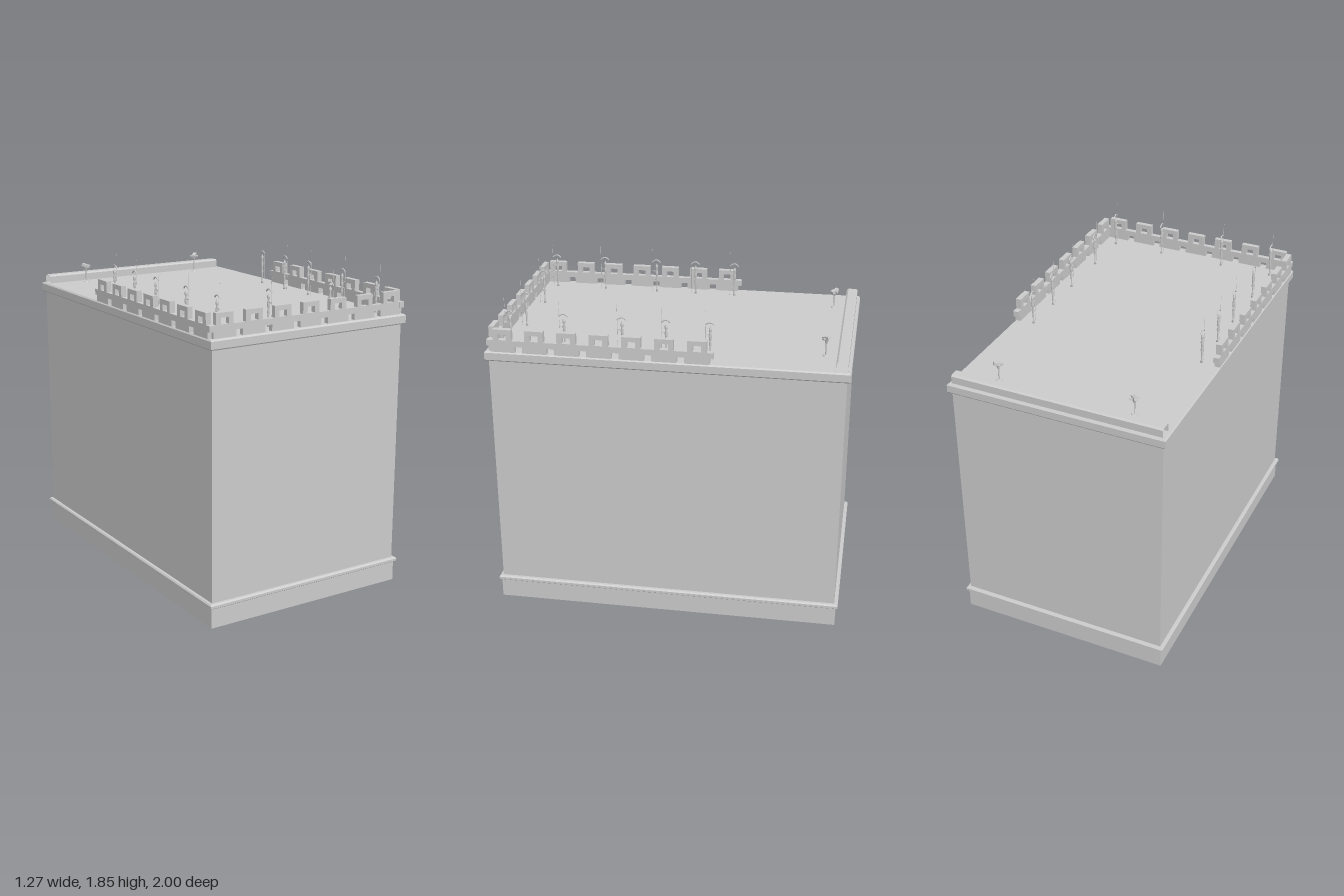
import * as THREE from 'three';

const mat = new THREE.MeshStandardMaterial({ color: 0xcccccc, side: THREE.DoubleSide, flatShading: true });
const smooth = new THREE.MeshStandardMaterial({ color: 0xcccccc, side: THREE.DoubleSide });
const HX = 0.612, HZ = 0.979, ROOF = 1.57;

function add(parent, name, geo, x = 0, y = 0, z = 0, m = mat) {
  const mesh = new THREE.Mesh(geo, m);
  mesh.name = name;
  mesh.position.set(x, y, z);
  parent.add(mesh);
  return mesh;
}

// Sweeps a profile of [outward offset, height] around the rectangular plan
function rectBand(profile) {
  const pos = [];
  const signs = [[1, 1], [1, -1], [-1, -1], [-1, 1]];
  const at = (c, [o, y]) => [signs[c % 4][0] * (HX + o), y, signs[c % 4][1] * (HZ + o)];
  for (let c = 0; c < 4; c++) {
    for (let i = 0; i < profile.length - 1; i++) {
      const a = at(c, profile[i]), b = at(c + 1, profile[i]);
      const d = at(c, profile[i + 1]), e = at(c + 1, profile[i + 1]);
      pos.push(...a, ...b, ...e, ...a, ...e, ...d);
    }
  }
  const g = new THREE.BufferGeometry();
  g.setAttribute('position', new THREE.Float32BufferAttribute(pos, 3));
  g.computeVertexNormals();
  return g;
}

// Crenellated wall: drain notches below, pierced merlons above
function battlement(half, depth) {
  const pitch = 0.1786, low = 0.068, high = 0.13, nTop = 0.035, nHalf = 0.021, mHalf = 0.052;
  const pts = [[-half, nTop]];
  for (let i = 0; i <= 7; i++) {
    const x = (i - 3.5) * pitch;
    if (i > 0) pts.push([x - nHalf, 0], [x - nHalf, nTop]);
    if (i < 7) pts.push([x + nHalf, nTop], [x + nHalf, 0]);
  }
  pts.push([half, nTop], [half, low]);
  for (let i = 3; i >= -3; i--) {
    const x = i * pitch;
    pts.push([x + mHalf, low], [x + mHalf, high], [x - mHalf, high], [x - mHalf, low]);
  }
  pts.push([-half, low]);
  const shape = new THREE.Shape(pts.map(p => new THREE.Vector2(...p)));
  for (let i = -3; i <= 3; i++) {
    const x = i * pitch;
    shape.holes.push(new THREE.Path([[-1, 0.07], [-1, 0.104], [1, 0.104], [1, 0.07]]
      .map(([s, y]) => new THREE.Vector2(x + s * 0.023, y))));
  }
  return new THREE.ExtrudeGeometry(shape, { depth, bevelEnabled: false }).translate(0, 0, -depth / 2);
}

// Slim beaded post with a curved crest and a thin spear in front
function sentryPost() {
  const g = new THREE.Group();
  g.name = 'sentryPost';
  const profile = [[0, 0], [0.008, 0], [0.004, 0.012], [0.004, 0.06], [0.008, 0.075], [0.004, 0.09],
    [0.007, 0.105], [0.009, 0.125], [0.004, 0.14], [0.008, 0.152], [0.008, 0.165], [0, 0.178]];
  add(g, 'post', new THREE.LatheGeometry(profile.map(p => new THREE.Vector2(...p)), 8), 0, 0, 0, smooth);
  const crest = new THREE.QuadraticBezierCurve3(
    new THREE.Vector3(0, 0.185, -0.022), new THREE.Vector3(0, 0.215, 0), new THREE.Vector3(0, 0.185, 0.027));
  add(g, 'crest', new THREE.TubeGeometry(crest, 8, 0.004, 6), 0, 0, 0, smooth);
  add(g, 'arm', new THREE.BoxGeometry(0.004, 0.004, 0.027), 0, 0.13, 0.014);
  add(g, 'spear', new THREE.CylinderGeometry(0.0008, 0.0012, 0.26, 5), 0, 0.13, 0.027);
  add(g, 'spearTip', new THREE.ConeGeometry(0.002, 0.015, 5), 0, 0.268, 0.027);
  return g;
}

// Small stand carrying a tilted cross-shaped head
function roofStand() {
  const g = new THREE.Group();
  g.name = 'roofStand';
  add(g, 'base', new THREE.CylinderGeometry(0.014, 0.018, 0.008, 12), 0, 0.004, 0);
  add(g, 'pole', new THREE.CylinderGeometry(0.004, 0.004, 0.09, 8), 0, 0.05, 0, smooth);
  add(g, 'cup', new THREE.CylinderGeometry(0.013, 0.005, 0.025, 8), 0, 0.085, 0);
  add(g, 'head', new THREE.BoxGeometry(0.022, 0.016, 0.05), 0, 0.103, 0).rotation.x = 0.25;
  add(g, 'crossArm', new THREE.BoxGeometry(0.05, 0.008, 0.01), 0, 0.1, 0);
  return g;
}

export function createModel() {
  const root = new THREE.Group();
  root.name = 'fortressBlock';

  // Hollow shell, open at the bottom
  add(root, 'walls', rectBand([[0, 0.12], [0, ROOF]]));
  add(root, 'plinth', rectBand([[0.008, 0], [0.008, 0.115]]));
  add(root, 'plinthLedge', rectBand([[0, 0.115], [0.018, 0.115], [0.021, 0.118], [0.021, 0.132], [0.014, 0.14], [0, 0.14]]));
  add(root, 'cornice', rectBand([[0, 1.515], [0.015, 1.515], [0.019, 1.521], [0.019, 1.562], [0.012, ROOF], [0, ROOF]]));
  add(root, 'roof', new THREE.PlaneGeometry(HX * 2, HZ * 2).rotateX(-Math.PI / 2), 0, ROOF, 0);

  // Rear parapet, an open-ended folded strip
  const fold = [[-0.98, 0], [-0.98, 0.042], [-0.97, 0.05], [-0.925, 0.05], [-0.915, 0.042], [-0.915, 0]];
  for (let i = 0; i < fold.length - 1; i++) {
    const [z0, y0] = fold[i], [z1, y1] = fold[i + 1];
    const strip = new THREE.PlaneGeometry(1.22, Math.hypot(z1 - z0, y1 - y0));
    const mesh = add(root, 'rearParapet', strip, 0, ROOF + (y0 + y1) / 2, (z0 + z1) / 2);
    mesh.rotation.x = Math.atan2(z1 - z0, y1 - y0);
  }

  // Battlements on the front and the forward part of both sides
  add(root, 'frontBattlement', battlement(0.61, 0.028), 0, ROOF, 0.964);
  for (const s of [-1, 1]) {
    add(root, 'sideBattlement', battlement(0.625, 0.032), s * 0.612, ROOF, 0.357).rotation.y = s * Math.PI / 2;
  }

  // Posts behind the battlements and stands near the rear parapet
  const spots = [[0.2, 0.875]];
  for (const z of [-0.235, 0.005, 0.247, 0.57, 0.875]) spots.push([0.517, z]);
  for (const s of [-1, 1]) {
    for (const [x, z] of spots) {
      const post = sentryPost();
      post.position.set(s * x, ROOF, z);
      root.add(post);
    }
    const stand = roofStand();
    stand.position.set(s * 0.395, ROOF, -0.85);
    stand.rotation.y = -s * Math.PI / 4;
    root.add(stand);
  }
  return root;
}
